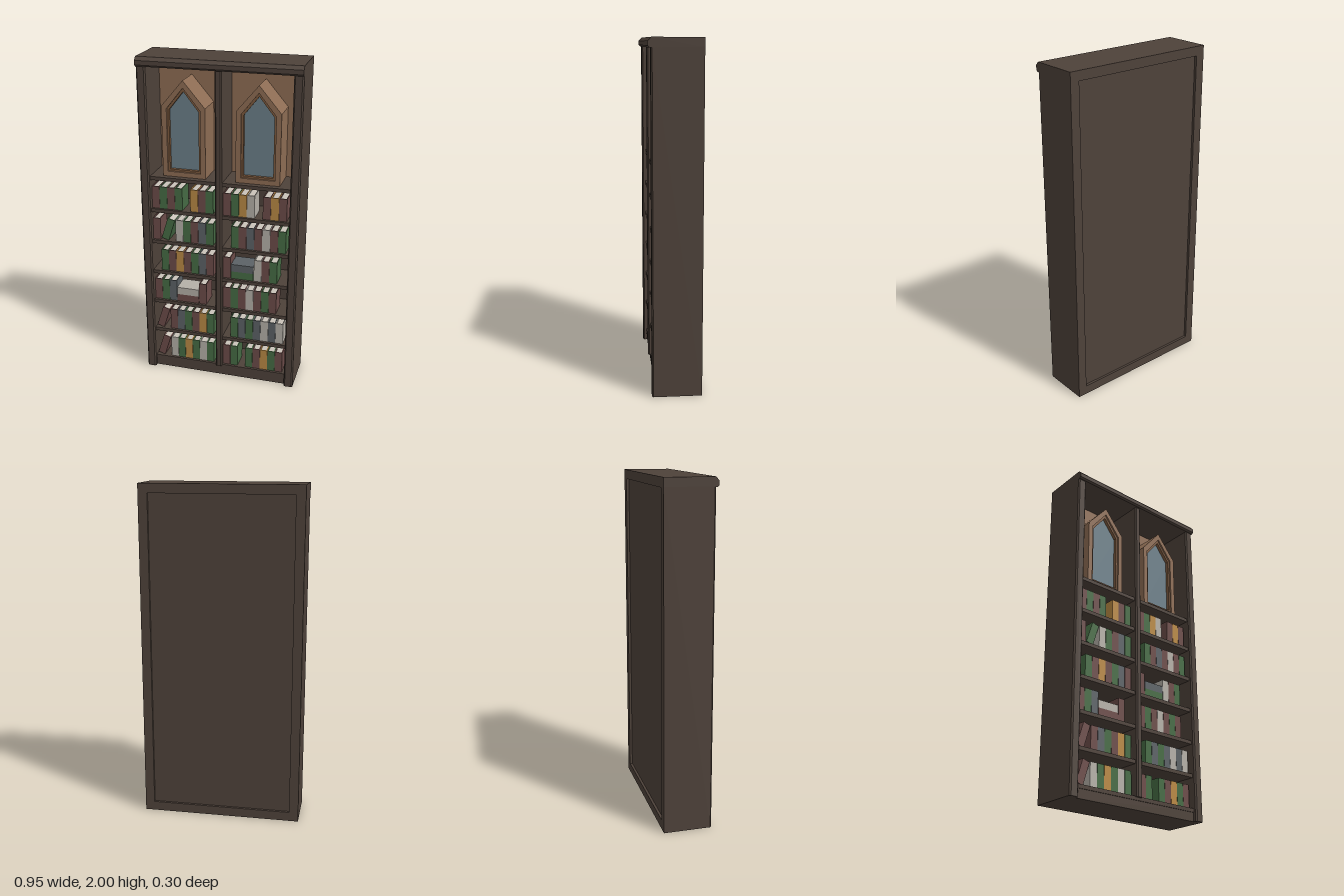
import * as THREE from 'three';

const mat = (name, color) => Object.assign(new THREE.MeshStandardMaterial({ color }), { name });

export function createModel() {
  const wood = mat('dark wood', 0x4e423a);
  const panelMat = mat('tan panel', 0x8e6d54);
  const trimMat = mat('window trim', 0x7d5a3e);
  const glassMat = mat('blue grey glass', 0x6c7f89);
  const pagesMat = mat('pages', 0xcac4ba);
  const covers = {
    R: mat('red cover', 0x6c4c49), G: mat('green cover', 0x466b44), Y: mat('gold cover', 0xb98944),
    W: mat('pale cover', 0xb5b0a8), S: mat('slate cover', 0x5c6266),
  };

  const root = new THREE.Group();
  root.name = 'bookcase';

  const add = (parent, name, geo, material) => {
    const m = new THREE.Mesh(geo, material);
    m.name = name;
    parent.add(m);
    return m;
  };
  // box given by its limits
  const box = (parent, name, material, x0, x1, y0, y1, z0, z1) => {
    const g = new THREE.BoxGeometry(x1 - x0, y1 - y0, z1 - z0);
    g.translate((x0 + x1) / 2, (y0 + y1) / 2, (z0 + z1) / 2);
    return add(parent, name, g, material);
  };
  const polygon = (pts) => new THREE.Shape(pts.map(([x, y]) => new THREE.Vector2(x, y)));
  const extrude = (shape, depth) => new THREE.ExtrudeGeometry(shape, { depth, bevelEnabled: false });

  // upright with chamfered front edges
  const upright = (name, x0, x1, y0, y1, z0, z1) => {
    const c = 0.008;
    const g = extrude(polygon([[x0, -z0], [x0, -z1 + c], [x0 + c, -z1], [x1 - c, -z1], [x1, -z1 + c], [x1, -z0]]), y1 - y0);
    g.rotateX(-Math.PI / 2).translate(0, y0, 0);
    add(root, name, g, wood);
  };

  // carcass
  upright('rightSide', -0.475, -0.42, 0, 1.95, -0.15, 0.135);
  upright('leftSide', 0.42, 0.475, 0, 1.95, -0.15, 0.135);
  upright('divider', -0.02, 0.02, 0.07, 1.95, -0.1, 0.13);
  box(root, 'backPanel', wood, -0.42, 0.42, 0.05, 1.945, -0.135, -0.1);
  box(root, 'base', wood, -0.42, 0.42, 0, 0.055, -0.15, 0.11);

  // crown with a sloped lip, profile in z and y
  const crown = extrude(polygon([
    [-0.15, 1.945], [0.14, 1.945], [0.15, 1.955], [0.15, 1.98], [0.132, 2], [-0.15, 2],
  ]), 0.95);
  crown.rotateY(-Math.PI / 2).translate(0.475, 0, 0);
  add(root, 'crown', crown, wood);

  // shelves
  const pitch = 0.2035;
  const shelfTop = (i) => 0.075 + i * pitch;
  for (let i = 0; i < 7; i++) {
    box(root, 'shelf', wood, -0.42, 0.42, shelfTop(i) - 0.022, shelfTop(i), -0.1, 0.115);
  }

  // pointed windows in the upper niches
  const arch = (w, bottom, shoulder, apex) =>
    [[-w, bottom], [w, bottom], [w, shoulder], [0, apex], [-w, shoulder]];
  const outer = arch(0.13, 1.296, 1.715, 1.868);
  const middle = arch(0.1, 1.325, 1.7, 1.825);
  const inner = arch(0.088, 1.337, 1.692, 1.803);
  const ring = (a, b, depth) => {
    const s = polygon(a);
    s.holes.push(polygon(b));
    return extrude(s, depth);
  };
  for (const s of [-1, 1]) {
    const niche = new THREE.Group();
    niche.name = 'windowNiche';
    niche.position.x = s * 0.22;
    root.add(niche);
    box(niche, 'nichePanel', panelMat, -0.2, 0.2, 1.297, 1.945, -0.1, -0.095);
    add(niche, 'windowSurround', ring(outer, middle, 0.175).translate(0, 0, -0.095), panelMat);
    add(niche, 'windowTrim', ring(middle, inner, 0.03).translate(0, 0, 0.04), trimMat);
    add(niche, 'windowGlass', extrude(polygon(middle), 0.008).translate(0, 0, 0.042), glassMat);
  }

  // book: two covers, a spine and a page block, base at the origin
  const W = 0.0465, H = 0.138, D = 0.12, T = 0.006;
  const book = (key) => {
    const g = new THREE.Group();
    g.name = 'book';
    const m = covers[key];
    box(g, 'coverSideA', m, -W / 2, -W / 2 + T, 0, H, -D, 0);
    box(g, 'coverSideB', m, W / 2 - T, W / 2, 0, H, -D, 0);
    box(g, 'spine', m, -W / 2 + T, W / 2 - T, 0, H, -T, 0);
    box(g, 'pages', pagesMat, -W / 2 + T, W / 2 - T, 0.004, H - 0.005, -D + 0.005, -T);
    root.add(g);
    return g;
  };

  // rows from the bottom, right bay then left bay; '-' gap, '/X' leaning, '[XY' lying stack
  const rows = [
    ['/RWGYGWG', 'RG-GRYGR'],
    ['/RRSGRYG', '-GSGSWSW'],
    ['RGS[RWR-', 'RGRWRGR-'],
    ['-GRYRGSR', 'R[GSWRG-'],
    ['R/GWGRSG', '-GRSRWRG'],
    ['RGRG-YRG', 'RGYW-RYR'],
  ];
  const slot = 0.0475, front = 0.1;
  rows.forEach((bays, r) => bays.forEach((code, b) => {
    let x = b ? 0.0205 : -0.418;
    const y = shelfTop(r);
    for (let i = 0; i < code.length; i++) {
      const c = code[i];
      if (c === '/') {
        const tilt = 0.3;
        const g = book(code[++i]);
        g.rotation.z = -tilt;
        g.position.set(x + 0.028, y + Math.sin(tilt) * W / 2, front);
        x += slot * 2;
      } else if (c === '[') {
        for (let k = 0; k < 2; k++) {
          const g = book(code[++i]);
          g.rotation.z = -Math.PI / 2;
          g.position.set(x + 0.002, y + W * (k + 0.5), front);
        }
        x += slot * 3;
      } else {
        if (c !== '-') book(c).position.set(x + slot / 2, y, front);
        x += slot;
      }
    }
  }));

  return root;
}
